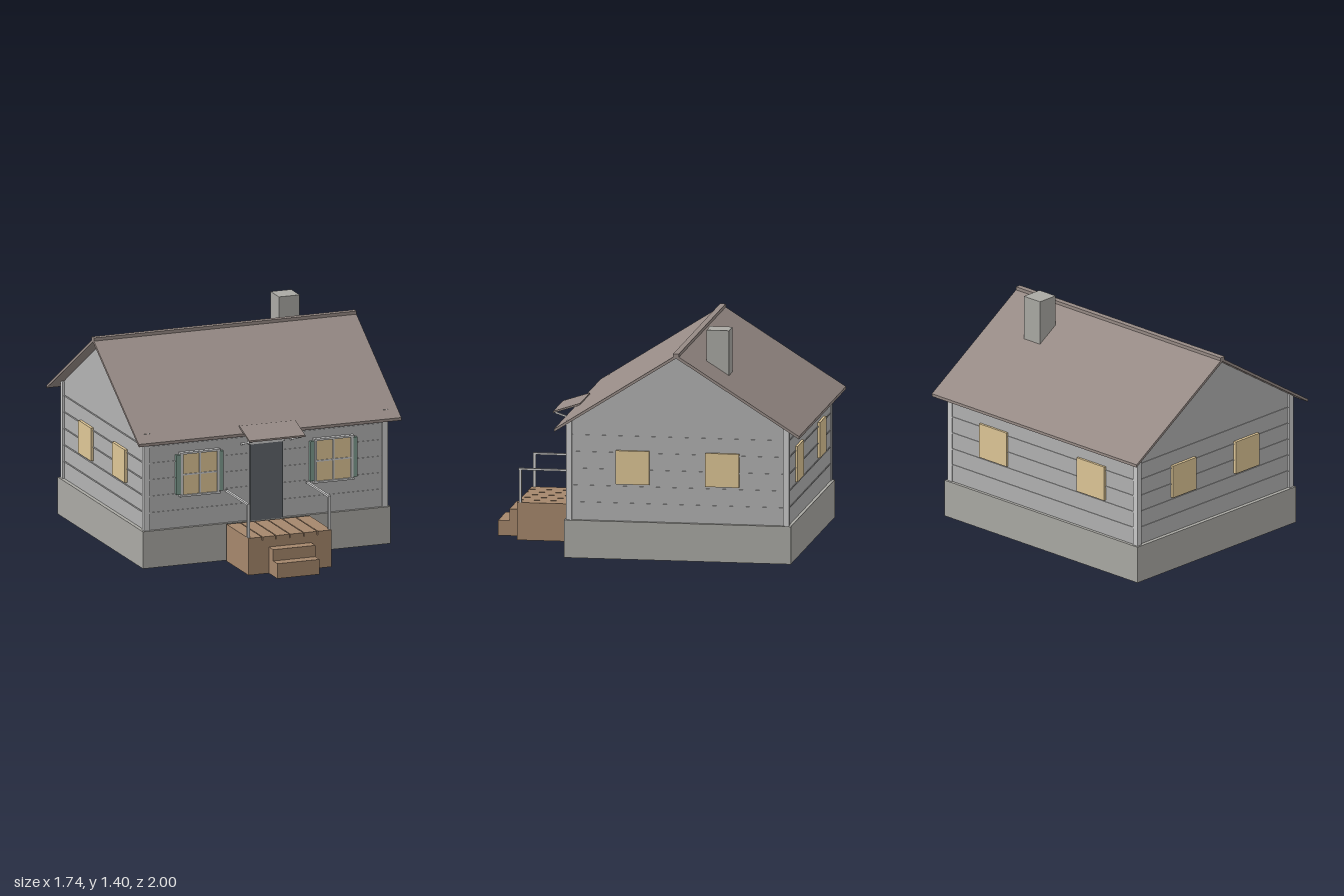
import * as THREE from 'three';

const mat = (color) => new THREE.MeshStandardMaterial({ color });

export function createModel() {
  const house = new THREE.Group();
  const M = {
    wall: mat(0xb2b2b2), stone: mat(0xaaa9a4), trim: mat(0xd6d6d3), roof: mat(0x968a85),
    wood: mat(0xa5876c), glass: mat(0xdec696), shutter: mat(0x7f9d90), door: mat(0x60656b),
  };
  const add = (name, geo, material, parent = house) => {
    const mesh = new THREE.Mesh(geo, material);
    mesh.name = name;
    parent.add(mesh);
    return mesh;
  };
  // Box given by its lower and upper limits on each axis
  const box = (name, material, x0, x1, y0, y1, z0, z1, parent) => {
    const geo = new THREE.BoxGeometry(x1 - x0, y1 - y0, z1 - z0);
    geo.translate((x0 + x1) / 2, (y0 + y1) / 2, (z0 + z1) / 2);
    return add(name, geo, material, parent);
  };
  // Side profile of [z, y] points, extruded along x about a centre
  const profile = (name, material, points, width, x = 0) => {
    const shape = new THREE.Shape(points.map(([z, y]) => new THREE.Vector2(-z, y)));
    const geo = new THREE.ExtrudeGeometry(shape, { depth: width, bevelEnabled: false });
    geo.translate(0, 0, -width / 2).rotateY(Math.PI / 2).translate(x, 0, 0);
    return add(name, geo, material);
  };

  const ridgeZ = -0.2325, wallX = 0.795, front = 0.455, back = -0.92, base = 0.235;

  // Foundation and gabled walls
  box('foundation', M.stone, -0.82, 0.82, 0, base, -0.94, 0.475);
  profile('walls', M.wall,
    [[front, base], [front, 0.84], [ridgeZ, 1.277], [back, 0.84], [back, base]], wallX * 2);

  // Horizontal siding laps on all four sides
  for (let i = 1; i <= 5; i++) {
    const y = base + i * 0.105, e = 0.004;
    box('sidingLap', M.wall, -wallX - e, wallX + e, y, y + 0.008, back - e, front + e);
  }

  // Corner boards
  for (const sx of [-1, 1]) {
    for (const z of [0.447, -0.909]) {
      box('cornerBoard', M.trim, sx * 0.789 - 0.019, sx * 0.789 + 0.019, base, 0.853, z - 0.018, z + 0.018);
    }
  }

  // Roof, ridge cap and chimney
  profile('roof', M.roof, [[0.53, 0.81], [ridgeZ, 1.295], [-1, 0.81],
    [-1, 0.792], [ridgeZ, 1.275], [0.53, 0.792]], 1.74);
  box('ridgeCap', M.roof, -0.87, 0.87, 1.28, 1.304, ridgeZ - 0.018, ridgeZ + 0.018);
  box('chimney', M.stone, 0.418, 0.555, 1.08, 1.4, -0.51, -0.37);

  // Front door with its head trim
  box('door', M.door, -0.108, 0.108, base, 0.722, 0.44, 0.475);
  box('doorHead', M.trim, -0.12, 0.12, 0.722, 0.745, 0.44, 0.48);

  // Canopy over the door and its slanted brackets
  profile('canopy', M.roof, [[0.65, 0.795], [0.48, 0.85], [0.48, 0.838], [0.65, 0.784]], 0.37);
  for (const sx of [-1, 1]) {
    profile('canopyBracket', M.trim, [[0.64, 0.79], [0.46, 0.732], [0.46, 0.72], [0.64, 0.779]],
      0.01, sx * 0.163);
  }

  // Front windows with frames, glazing bars and shutters
  for (const sx of [-1, 1]) {
    const w = new THREE.Group();
    w.name = 'frontWindow';
    w.position.x = sx * 0.443;
    house.add(w);
    box('glass', M.glass, -0.118, 0.118, 0.44, 0.707, 0.44, 0.472, w);
    for (const s of [-1, 1]) {
      box('frameSide', M.trim, s * 0.12 - 0.007, s * 0.12 + 0.007, 0.44, 0.707, 0.44, 0.482, w);
      box('shutter', M.shutter, s * 0.142 - 0.014, s * 0.142 + 0.014, 0.448, 0.7, 0.44, 0.478, w);
    }
    box('frameTop', M.trim, -0.133, 0.133, 0.703, 0.715, 0.44, 0.484, w);
    box('sill', M.trim, -0.133, 0.133, 0.433, 0.445, 0.44, 0.484, w);
    box('glazingBarUpright', M.trim, -0.005, 0.005, 0.445, 0.703, 0.465, 0.477, w);
    box('glazingBarCross', M.trim, -0.113, 0.113, 0.567, 0.577, 0.465, 0.477, w);
  }

  // Plain windows on the sides and back
  for (const sx of [-1, 1]) {
    for (const z of [0.05, -0.51]) {
      box('sideWindow', M.glass, sx * 0.8 - 0.014, sx * 0.8 + 0.014, 0.467, 0.677, z - 0.105, z + 0.105);
    }
    box('backWindow', M.glass, sx * 0.415 - 0.117, sx * 0.415 + 0.117, 0.463, 0.685, -0.935, -0.91);
  }

  // Porch with separate deck boards, and two steps
  box('porchBase', M.wood, -0.275, 0.275, 0, 0.212, 0.495, 0.86);
  const pitch = 0.55 / 6;
  for (let i = 0; i < 6; i++) {
    const x = -0.275 + i * pitch;
    box('deckBoard', M.wood, x + (i ? 0.003 : 0), x + pitch - (i < 5 ? 0.003 : 0), 0.212, base, 0.495, 0.86);
  }
  box('upperStep', M.wood, -0.14, 0.14, 0, 0.167, 0.86, 0.93);
  box('lowerStep', M.wood, -0.14, 0.14, 0, 0.095, 0.93, 1);

  // Porch railings
  for (const sx of [-1, 1]) {
    const x = sx * 0.268;
    box('railPost', M.trim, x - 0.008, x + 0.008, base, 0.44, 0.832, 0.848);
    box('handrail', M.trim, x - 0.008, x + 0.008, 0.438, 0.45, 0.475, 0.85);
  }
  return house;
}
